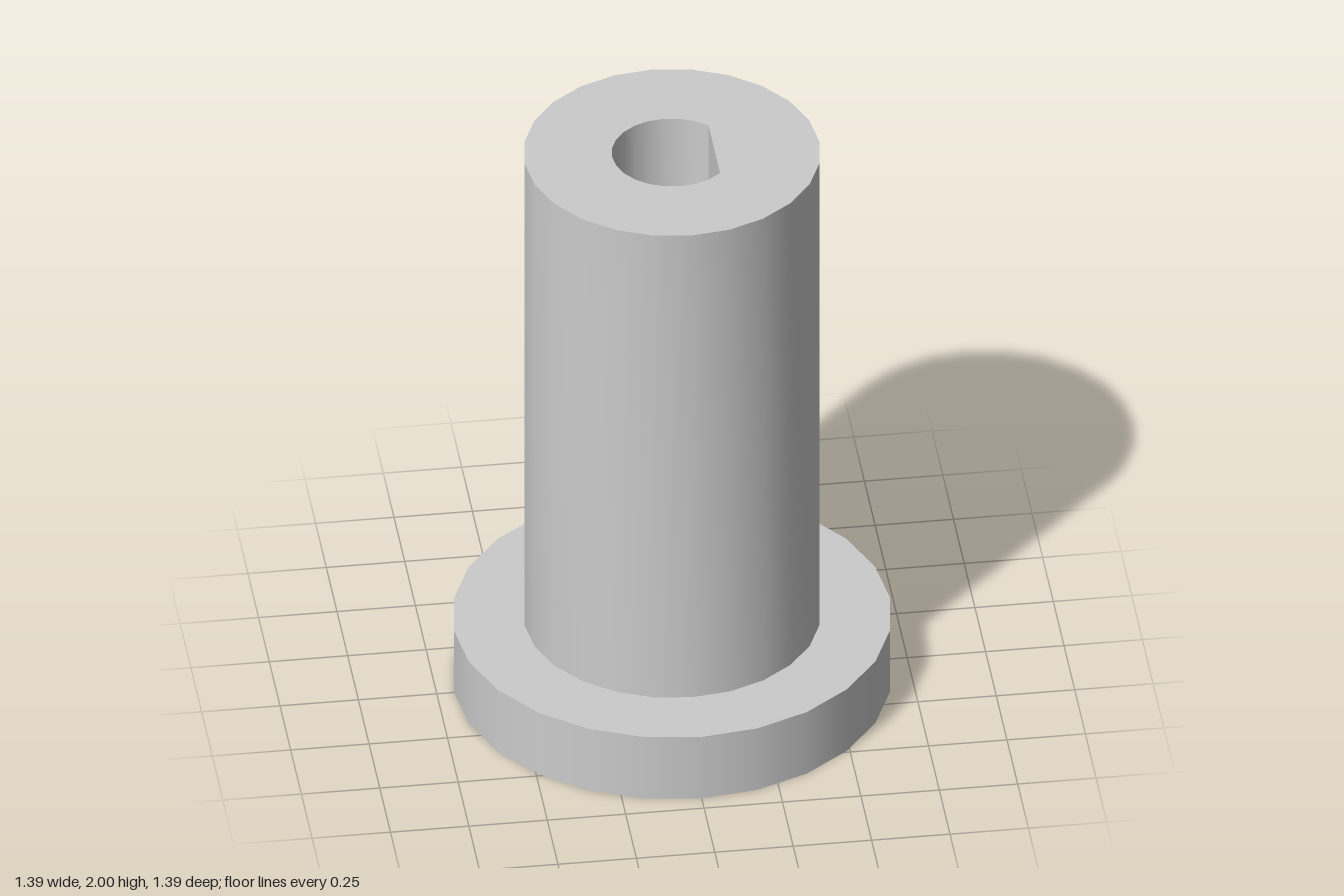
import * as THREE from 'three';
import { toCreasedNormals } from 'three/addons/utils/BufferGeometryUtils.js';

const SIDES = 24;
const FLANGE_R = 0.695, FLANGE_H = 0.235;
const SHAFT_R = 0.47, BORE_R = 0.191, HEIGHT = 2;

// Points on a circle between two step indices of the 24-sided division
function arcPoints(radius, from, to) {
  const points = [];
  for (let i = from; i <= to; i++) {
    const a = (i / SIDES) * Math.PI * 2;
    points.push(new THREE.Vector2(radius * Math.cos(a), radius * Math.sin(a)));
  }
  return points;
}

export function createModel() {
  const group = new THREE.Group();
  group.name = 'flangedBushing';
  const material = new THREE.MeshStandardMaterial({ color: 0xcccccc });

  // Solid base flange, which also forms the floor of the bore
  const flangeGeometry = new THREE.CylinderGeometry(FLANGE_R, FLANGE_R, FLANGE_H, SIDES);
  flangeGeometry.translate(0, FLANGE_H / 2, 0);
  const flange = new THREE.Mesh(flangeGeometry, material);
  flange.name = 'flange';
  group.add(flange);

  // Shaft with a D-shaped bore, its flat on the +x side
  const section = new THREE.Shape(arcPoints(SHAFT_R, 0, SIDES - 1));
  section.holes.push(new THREE.Path(arcPoints(BORE_R, 3, SIDES - 3)));
  const extruded = new THREE.ExtrudeGeometry(section, {
    depth: HEIGHT - FLANGE_H,
    bevelEnabled: false,
  });
  extruded.rotateX(-Math.PI / 2);
  extruded.translate(0, FLANGE_H, 0);
  const shaft = new THREE.Mesh(toCreasedNormals(extruded, Math.PI / 6), material);
  shaft.name = 'shaft';
  group.add(shaft);

  return group;
}
